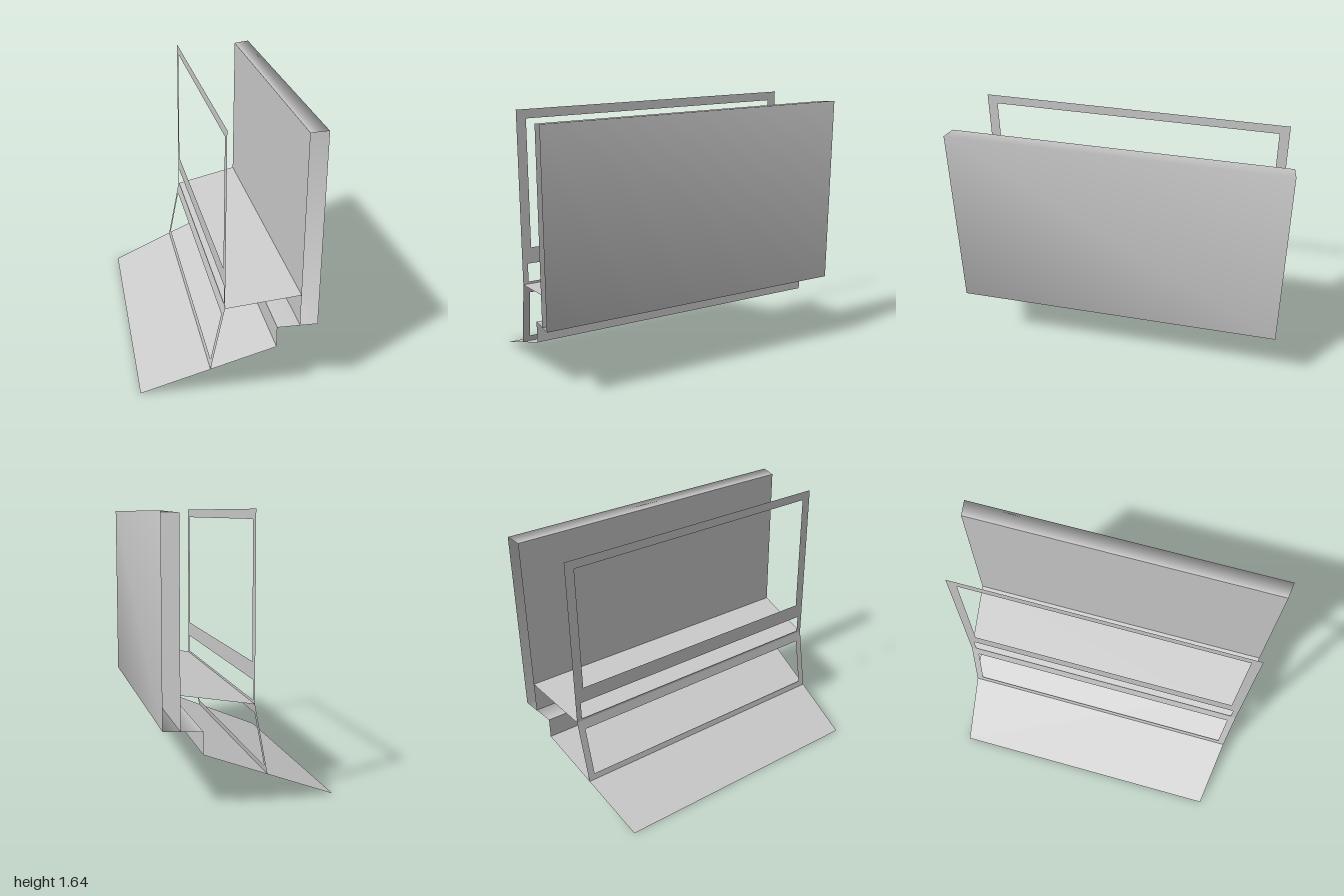
import * as THREE from 'three';

const material = new THREE.MeshStandardMaterial({ color: 0xcccccc, side: THREE.DoubleSide });

// The whole model narrows evenly from +x to -x.
const halfDepth = (x) => 0.866 + 0.131 * (x + 0.51);

// Open sheet: an x/y profile drawn across the full depth, smooth along its length.
function sheet(name, profile) {
  const positions = [];
  const index = [];
  profile.forEach(([x, y], i) => {
    const d = halfDepth(x);
    positions.push(x, y, d, x, y, -d);
    if (i > 0) {
      const a = 2 * (i - 1);
      index.push(a, a + 2, a + 1, a + 1, a + 2, a + 3);
    }
  });
  const geometry = new THREE.BufferGeometry();
  geometry.setAttribute('position', new THREE.Float32BufferAttribute(positions, 3));
  geometry.setIndex(index);
  geometry.computeVertexNormals();
  const mesh = new THREE.Mesh(geometry, material);
  mesh.name = name;
  return mesh;
}

// Thin frame between two x/y points; each hole is [y low, y high, border at the sides].
function frame(name, [x0, y0], [x1, y1], holes) {
  const xAt = (y) => x0 + ((x1 - x0) * (y - y0)) / (y1 - y0);
  const outline = (lo, hi, border) => {
    const a = halfDepth(xAt(lo)) - border;
    const b = halfDepth(xAt(hi)) - border;
    return [[-a, lo], [a, lo], [b, hi], [-b, hi]].map((p) => new THREE.Vector2(...p));
  };
  const shape = new THREE.Shape(outline(y0, y1, 0));
  holes.forEach((hole) => shape.holes.push(new THREE.Path(outline(...hole))));
  const geometry = new THREE.ShapeGeometry(shape);
  const p = geometry.attributes.position;
  for (let i = 0; i < p.count; i++) {
    const z = -p.getX(i);
    const y = p.getY(i);
    p.setXYZ(i, xAt(y), y, z);
  }
  geometry.computeVertexNormals();
  const mesh = new THREE.Mesh(geometry, material);
  mesh.name = name;
  return mesh;
}

export function createModel() {
  const group = new THREE.Group();
  group.name = 'panelStand';
  group.add(
    // Sloping base and the step that carries the panel
    sheet('baseRamp', [[-0.51, 0], [0.28, 0.31]]),
    sheet('baseStep', [[0.28, 0.31], [0.28, 0.44]]),
    // Hollow upright panel, open at both ends
    sheet('panelShell', [[0.28, 0.44], [0.51, 0.46], [0.51, 1.63], [0.41, 1.62]]),
    sheet('panelBack', [[0.41, 1.62], [0.41, 0.45]]),
    // Shelf from the panel down to the frames
    sheet('shelf', [[0.41, 0.65], [-0.02, 0.57]]),
    // Upright frame with a large and a narrow opening
    frame('upperFrame', [-0.02, 0.57], [-0.02, 1.64], [[0.585, 0.7, 0.035], [0.8, 1.585, 0.06]]),
    // Leaning frame standing on the ramp
    frame('lowerFrame', [-0.1, 0.16], [-0.02, 0.57], [[0.2, 0.51, 0.045]])
  );
  return group;
}
